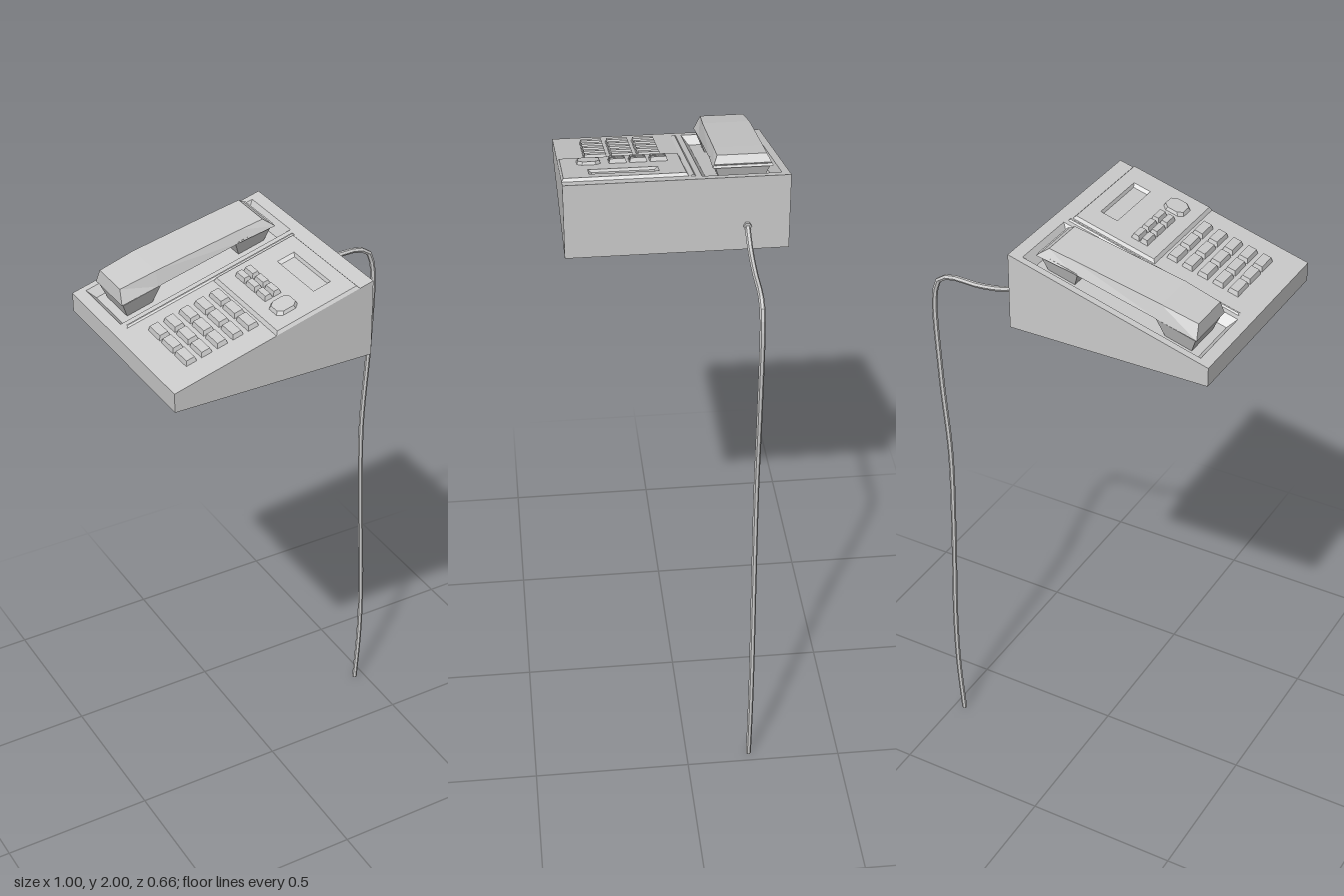
import * as THREE from 'three';

const material = new THREE.MeshStandardMaterial({ color: 0xcccccc, flatShading: true, side: THREE.DoubleSide });

// Height of the sloping deck at x; parts on it are given as a height h above it.
const deckY = x => 1.8 + (x + 0.5) * 0.281;
const onDeck = (x, h, z) => new THREE.Vector3(x, deckY(x) + h, z);

// Rectangle on the deck, anticlockwise from above, with optional cut corners.
function rect(x0, x1, z0, z1, h, cut = 0) {
  const c = cut;
  const pts = c
    ? [[x0 + c, z1], [x1 - c, z1], [x1, z1 - c], [x1, z0 + c], [x1 - c, z0], [x0 + c, z0], [x0, z0 + c], [x0, z1 - c]]
    : [[x0, z1], [x1, z1], [x1, z0], [x0, z0]];
  return pts.map(([x, z]) => onDeck(x, h, z));
}

// Joins rings of points with flat faces; optionally closes the last and first ring.
function loft(rings, capEnd = true, capStart = false) {
  const pos = [];
  const tri = (...ps) => ps.forEach(p => pos.push(p.x, p.y, p.z));
  const cap = ring => {
    for (let i = 1; i < ring.length - 1; i++) tri(ring[0], ring[i], ring[i + 1]);
  };
  for (let k = 0; k < rings.length - 1; k++) {
    const a = rings[k], b = rings[k + 1], n = a.length;
    for (let i = 0; i < n; i++) {
      const j = (i + 1) % n;
      tri(a[i], a[j], b[j]);
      tri(a[i], b[j], b[i]);
    }
  }
  if (capEnd) cap(rings[rings.length - 1]);
  if (capStart) cap([...rings[0]].reverse());
  const geo = new THREE.BufferGeometry();
  geo.setAttribute('position', new THREE.Float32BufferAttribute(pos, 3));
  geo.computeVertexNormals();
  return geo;
}

// Flat plate following the deck, with a rectangular hole.
function plate([x0, x1, z0, z1], [a0, a1, b0, b1], h) {
  const outline = (l, r, t, b) => [[l, -b], [r, -b], [r, -t], [l, -t]].map(p => new THREE.Vector2(...p));
  const shape = new THREE.Shape(outline(x0, x1, z0, z1));
  shape.holes.push(new THREE.Path(outline(a0, a1, b0, b1).reverse()));
  const geo = new THREE.ShapeGeometry(shape).rotateX(-Math.PI / 2);
  const p = geo.attributes.position;
  for (let i = 0; i < p.count; i++) p.setY(i, deckY(p.getX(i)) + h);
  geo.computeVertexNormals();
  return geo;
}

export function createModel() {
  const model = new THREE.Group();
  model.name = 'deskTelephone';
  const add = (name, geo, parent = model) => {
    const mesh = new THREE.Mesh(geo, material);
    mesh.name = name;
    parent.add(mesh);
    return mesh;
  };
  const group = name => {
    const g = new THREE.Group();
    g.name = name;
    model.add(g);
    return g;
  };

  // Wedge body with a cradle sunk into its top
  const body = group('body');
  const top = rect(-0.5, 0.14, -0.33, 0.33, 0);
  const base = top.map(p => new THREE.Vector3(p.x, 1.74, p.z));
  add('wedge', loft([base, top], false, true), body);
  const cradle = [-0.465, 0.105, -0.307, -0.075];
  add('deck', plate([-0.5, 0.14, -0.33, 0.33], cradle, 0), body);
  add('cradle', loft([rect(...cradle, 0), rect(-0.44, 0.08, -0.29, -0.097, -0.03)]), body);
  add('ridge', loft([rect(-0.46, 0.1, -0.058, -0.042, 0), rect(-0.455, 0.095, -0.053, -0.048, 0.004)]), body);

  // Raised control panel with a sunken slot
  const panel = group('controlPanel');
  const slot = [-0.008, 0.048, 0.043, 0.248];
  add('panelEdge', loft([rect(-0.176, 0.096, -0.038, 0.33, 0), rect(-0.17, 0.088, -0.032, 0.324, 0.01)], false), panel);
  add('panelTop', plate([-0.17, 0.088, -0.032, 0.324], slot, 0.01), panel);
  add('slot', loft([rect(...slot, 0.01), rect(-0.004, 0.044, 0.053, 0.238, 0.001)]), panel);

  // Keys: a 5 x 3 pad on the deck, a 2 x 3 pad and a large button on the panel
  const keys = group('keys');
  const key = (x0, x1, z0, z1, h) => add('key', loft([
    rect(x0, x1, z0, z1, h),
    rect(x0 + 0.003, x1 - 0.005, z0 + 0.004, z1 - 0.004, h + 0.014),
  ]), keys);
  for (const x of [-0.42, -0.371, -0.321, -0.271, -0.221])
    for (const z of [0.016, 0.097, 0.178]) key(x, x + 0.034, z, z + 0.071, 0);
  for (const x of [-0.128, -0.1])
    for (const z of [0.006, 0.067, 0.128]) key(x, x + 0.025, z, z + 0.053, 0.01);
  add('largeButton', loft([
    rect(-0.137, -0.069, 0.205, 0.276, 0.01, 0.014),
    rect(-0.133, -0.073, 0.209, 0.272, 0.02, 0.014),
  ]), keys);

  // Handset: cross-sections [bottom x, bottom h, top x, top h, bottom half width, top half width]
  const handset = group('handset');
  const zc = -0.199;
  const sections = [
    [-0.44, 0.028, -0.435, 0.071, 0.087, 0.067],
    [-0.32, 0.025, -0.32, 0.071, 0.085, 0.073],
    [-0.04, 0.02, -0.04, 0.054, 0.085, 0.073],
    [0.073, 0.014, 0.038, 0.048, 0.089, 0.073],
  ].map(([bx, bh, tx, th, bw, tw]) => [
    onDeck(bx, bh, zc + bw), onDeck(bx, bh, zc - bw),
    onDeck(tx, th, zc - tw), onDeck(tx, th, zc + tw),
  ]);
  add('handle', loft(sections, true, true), handset);
  for (const [name, x0, x1] of [['mouthpiece', -0.435, -0.31], ['earpiece', -0.06, 0.067]])
    add(name, loft([
      rect(x0 + 0.02, x1 - 0.02, zc - 0.065, zc + 0.065, -0.03),
      rect(x0, x1, zc - 0.084, zc + 0.084, 0.024),
    ]), handset);

  // Cord hanging from the side, with its plug
  const plug = add('cordPlug', new THREE.CylinderGeometry(0.012, 0.012, 0.016, 6).rotateZ(Math.PI / 2));
  plug.position.set(0.141, 1.82, -0.205);
  const path = new THREE.CatmullRomCurve3([
    [0.14, 1.82], [0.215, 1.78], [0.32, 1.761], [0.42, 1.761], [0.463, 1.745], [0.484, 1.69],
    [0.48, 1.4], [0.461, 1.1], [0.466, 0.8], [0.48, 0.4], [0.478, 0.2], [0.465, 0],
  ].map(([x, y]) => new THREE.Vector3(x, y, -0.205)));
  add('cord', new THREE.TubeGeometry(path, 60, 0.0085, 6));

  return model;
}
